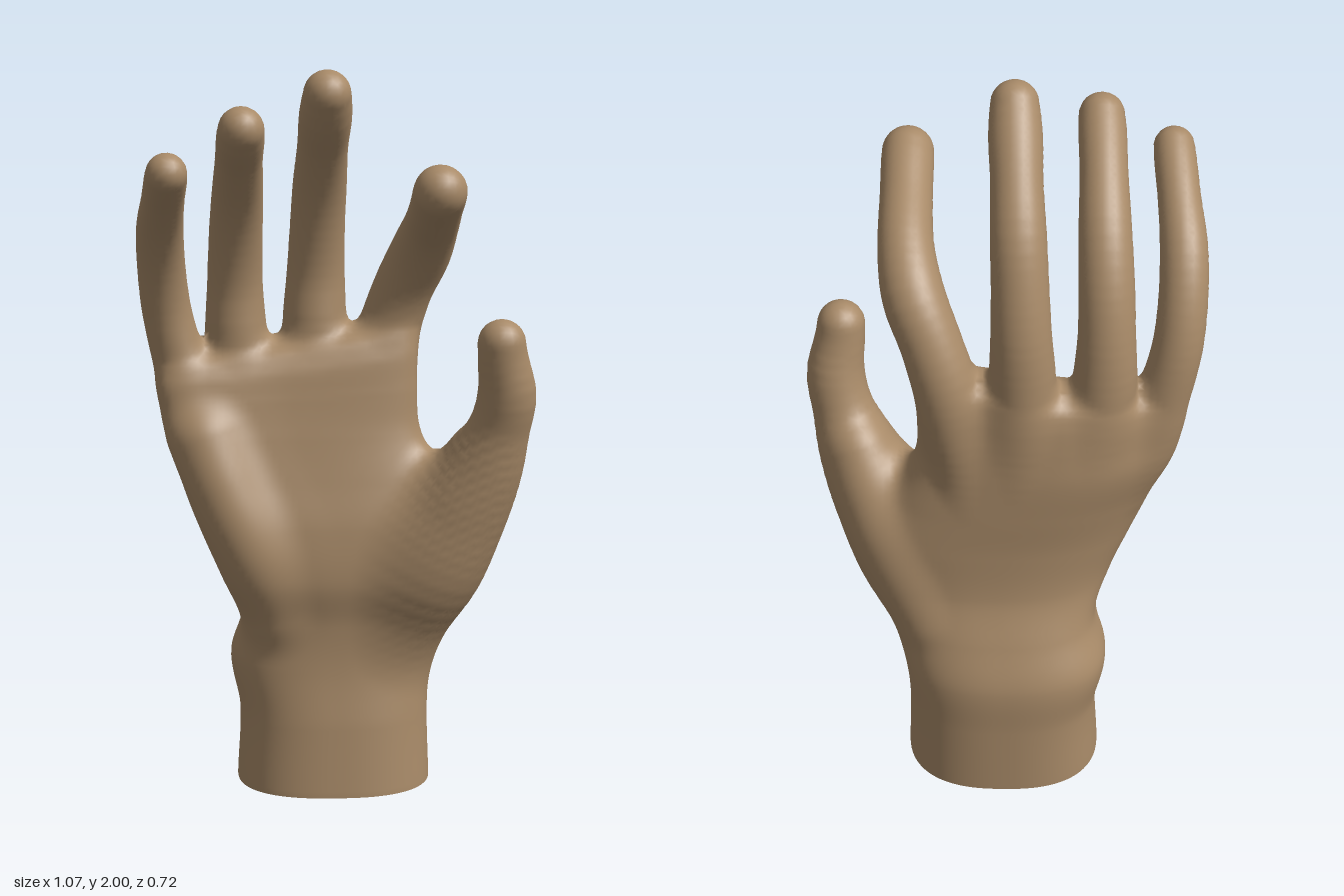
import * as THREE from 'three';

// Palm and wrist sections: [y, right x, left x, back z, front z, arch, sideways lift]
const PALM = [
  [0, -0.28, 0.26, -0.355, 0.12, 0, 0],
  [0.2, -0.272, 0.255, -0.35, 0.095, 0, 0],
  [0.35, -0.297, 0.265, -0.345, 0.072, 0, 0],
  [0.48, -0.265, 0.285, -0.3, 0.07, 0, 0],
  [0.6, -0.3, 0.34, -0.258, 0.085, 0.02, 0],
  [0.75, -0.36, 0.36, -0.248, 0.07, 0.04, 0],
  [0.88, -0.412, 0.29, -0.25, 0.04, 0.06, 0],
  [1.0, -0.465, 0.23, -0.25, 0.015, 0.07, 0],
  [1.1, -0.48, 0.22, -0.24, -0.005, 0.075, 0.02],
  [1.17, -0.485, 0.217, -0.23, -0.02, 0.075, 0.035],
  [1.22, -0.47, 0.205, -0.215, -0.045, 0.07, 0.045],
  [1.255, -0.43, 0.17, -0.185, -0.08, 0.06, 0.045],
];
const POWER = 2.5; // squareness of the sections

// Rounded limbs as [x, y, z, radius] from root to tip, with how softly they join
const LIMBS = {
  palmHeel: { blend: 0.09, points: [
    [-0.18, 0.5, -0.015, 0.065], [-0.245, 0.68, 0.025, 0.083], [-0.32, 0.86, 0.02, 0.078], [-0.38, 1.04, -0.02, 0.062],
  ] },
  thumb: { blend: 0.09, points: [
    [0.13, 0.38, -0.1, 0.1], [0.19, 0.5, -0.065, 0.125], [0.25, 0.63, -0.03, 0.153],
    [0.325, 0.78, 0.0, 0.138], [0.39, 0.91, 0.035, 0.11], [0.432, 1.03, 0.068, 0.084],
    [0.45, 1.13, 0.092, 0.079], [0.435, 1.24, 0.112, 0.067], [0.427, 1.335, 0.125, 0.062],
  ] },
  thumbWeb: { blend: 0.05, points: [
    [0.19, 0.5, -0.17, 0.08], [0.27, 0.67, -0.125, 0.095], [0.345, 0.83, -0.065, 0.085], [0.4, 1.0, 0.01, 0.062],
  ] },
  indexFinger: { blend: 0.04, points: [
    [0.08, 0.9, -0.16, 0.05], [0.12, 1.1, -0.155, 0.077], [0.142, 1.25, -0.15, 0.085],
    [0.18, 1.38, -0.125, 0.082], [0.225, 1.49, -0.07, 0.083], [0.247, 1.58, 0.03, 0.074],
    [0.25, 1.648, 0.17, 0.07], [0.25, 1.7, 0.29, 0.07], [0.25, 1.722, 0.355, 0.06],
  ] },
  middleFinger: { blend: 0.04, points: [
    [-0.045, 0.9, -0.16, 0.05], [-0.06, 1.1, -0.158, 0.08], [-0.06, 1.27, -0.153, 0.088],
    [-0.056, 1.42, -0.153, 0.08], [-0.052, 1.56, -0.125, 0.075], [-0.047, 1.68, -0.078, 0.073],
    [-0.042, 1.79, 0.0, 0.068], [-0.037, 1.885, 0.09, 0.07], [-0.033, 1.982, 0.178, 0.057],
  ] },
  ringFinger: { blend: 0.04, points: [
    [-0.19, 0.9, -0.14, 0.05], [-0.25, 1.1, -0.135, 0.078], [-0.274, 1.25, -0.13, 0.085],
    [-0.278, 1.4, -0.12, 0.076], [-0.275, 1.54, -0.08, 0.073], [-0.27, 1.66, -0.01, 0.069],
    [-0.266, 1.765, 0.1, 0.063], [-0.262, 1.835, 0.2, 0.063], [-0.258, 1.89, 0.275, 0.055],
  ] },
  littleFinger: { blend: 0.04, points: [
    [-0.33, 0.88, -0.09, 0.045], [-0.4, 1.05, -0.09, 0.07], [-0.435, 1.2, -0.09, 0.07],
    [-0.465, 1.34, -0.08, 0.067], [-0.477, 1.47, -0.04, 0.065], [-0.477, 1.58, 0.03, 0.063],
    [-0.466, 1.665, 0.13, 0.057], [-0.456, 1.73, 0.23, 0.056], [-0.45, 1.772, 0.305, 0.051],
  ] },
};

const spline = values => new THREE.CatmullRomCurve3(
  values.map(v => new THREE.Vector3(...v)), false, 'catmullrom');

// Smooth table of palm sections at even heights
const TOP = PALM[PALM.length - 1][0], ROWS = 4000;
const columns = PALM[0].map((_, k) => spline(PALM.map(s => [s[k], 0, 0])));
const sections = Array.from({ length: ROWS + 1 }, (_, r) => {
  const y = r / ROWS * TOP;
  const i = Math.min(PALM.findLastIndex(s => s[0] <= y), PALM.length - 2);
  const t = (i + (y - PALM[i][0]) / (PALM[i + 1][0] - PALM[i][0])) / (PALM.length - 1);
  return columns.map(c => c.getPoint(Math.min(t, 1)).x);
});
const sectionAt = y => sections[Math.round(Math.min(Math.max(y / TOP, 0), 1) * ROWS)];

// Smooth minimum joins two shapes with a fillet
function blend(a, b, k) {
  const h = Math.max(k - Math.abs(a - b), 0) / k;
  return Math.min(a, b) - h * h * k / 4;
}

function palmDistance(x, y, z) {
  const s = sectionAt(y);
  const across = (x - (s[1] + s[2]) / 2) / ((s[2] - s[1]) / 2);
  const height = y - s[6] * Math.min(Math.max(across, -1), 1);
  const [, x0, x1, back, front, arch] = sectionAt(height);
  const w = (x1 - x0) / 2, d = (front - back) / 2;
  const u = (x - (x0 + x1) / 2) / w, c = Math.min(Math.abs(u), 1.2);
  const v = (z - (back + front) / 2 - arch * c * c * (u < 0 ? 1 : 0.35)) / d;
  const k = Math.max((Math.abs(u) ** POWER + Math.abs(v) ** POWER) ** (1 / POWER), 0.05);
  const slope = Math.hypot((Math.abs(u) / k) ** (POWER - 1) / w, (Math.abs(v) / k) ** (POWER - 1) / d);
  return -blend(-(k - 1) / Math.max(slope, 1), TOP - height, 0.05);
}

// A limb is a chain of tapering segments with a round tip
function makeLimb(points, count = 30) {
  const path = spline(points.map(p => p.slice(0, 3)));
  const radii = spline(points.map(p => [p[3], 0, 0]));
  const end = 1 - points[points.length - 1][3] / path.getLength();
  const nodes = Array.from({ length: count + 1 }, (_, i) => {
    const u = i / count * end;
    return [...path.getPointAt(u).toArray(), radii.getPoint(path.getUtoTmapping(u)).x];
  });
  return (x, y, z) => {
    let best = Infinity;
    for (let i = 0; i < count; i++) {
      const a = nodes[i], b = nodes[i + 1];
      const dx = b[0] - a[0], dy = b[1] - a[1], dz = b[2] - a[2];
      const px = x - a[0], py = y - a[1], pz = z - a[2];
      const t = Math.min(Math.max((px * dx + py * dy + pz * dz) / (dx * dx + dy * dy + dz * dz), 0), 1);
      const gap = Math.sqrt((px - t * dx) ** 2 + (py - t * dy) ** 2 + (pz - t * dz) ** 2);
      best = Math.min(best, gap - a[3] - t * (b[3] - a[3]));
    }
    return best;
  };
}

const parts = [{ name: 'palmAndWrist', distance: palmDistance }];
for (const [name, l] of Object.entries(LIMBS)) parts.push({ name, blend: l.blend, distance: makeLimb(l.points) });

const field = (x, y, z) => parts.reduce(
  (sum, p) => (p.blend ? blend(sum, p.distance(x, y, z), p.blend) : p.distance(x, y, z)), Infinity);

function gradient(p, e = 0.01) {
  return new THREE.Vector3(
    field(p.x + e, p.y, p.z) - field(p.x - e, p.y, p.z),
    field(p.x, p.y + e, p.z) - field(p.x, p.y - e, p.z),
    field(p.x, p.y, p.z + e) - field(p.x, p.y, p.z - e)).divideScalar(2 * e);
}

// Skins the blended shape with quads, sorted by the part they lie on
function skinParts() {
  const h = 0.017, size = [72, 122, 50], origin = [-0.61, -h / 2, -0.42];
  const stride = [1, size[0], size[0] * size[1]];
  const at = (i, axis) => origin[axis] + i * h;
  const values = new Float32Array(size[0] * size[1] * size[2]).fill(1);
  const each = (start, visit) => {
    for (let k = start; k < size[2] - 1; k++)
      for (let j = start; j < size[1] - 1; j++)
        for (let i = start; i < size[0] - 1; i++) visit(i, j, k, i + j * stride[1] + k * stride[2]);
  };
  each(0, (i, j, k, id) => { values[id] = field(at(i, 0), at(j, 1), at(k, 2)); });

  // One vertex per cell, pulled onto the surface
  const cells = new Map();
  const vertex = id => {
    if (!cells.has(id)) {
      const i = id % size[0], j = Math.floor(id / stride[1]) % size[1], k = Math.floor(id / stride[2]);
      const p = new THREE.Vector3(at(i + 0.5, 0), at(j + 0.5, 1), at(k + 0.5, 2));
      for (let n = 0; n < 3; n++) {
        const g = gradient(p);
        p.addScaledVector(g, -field(p.x, p.y, p.z) / Math.max(g.lengthSq(), 0.3));
      }
      if (j === 0) p.y = 0;
      cells.set(id, { p, n: gradient(p).normalize() });
    }
    return cells.get(id);
  };

  const out = parts.map(() => ({ pos: [], nrm: [] }));
  each(1, (i, j, k, id) => {
    for (let axis = 0; axis < 3; axis++) {
      const inside = values[id] < 0;
      if (inside === values[id + stride[axis]] < 0) continue;
      const b = stride[(axis + 1) % 3], c = stride[(axis + 2) % 3];
      const quad = [id - b - c, id - c, id, id - b].map(vertex);
      if (!inside) quad.reverse();
      const near = parts.map(p => p.distance(at(i, 0), at(j, 1), at(k, 2)));
      const { pos, nrm } = out[near.indexOf(Math.min(...near))];
      for (const q of [0, 1, 2, 0, 2, 3]) {
        pos.push(...quad[q].p.toArray());
        nrm.push(...quad[q].n.toArray());
      }
    }
  });
  return out.map(({ pos, nrm }) => new THREE.BufferGeometry()
    .setAttribute('position', new THREE.Float32BufferAttribute(pos, 3))
    .setAttribute('normal', new THREE.Float32BufferAttribute(nrm, 3)));
}

export function createModel() {
  const skin = new THREE.MeshStandardMaterial({ color: 0xa88a68 });
  skin.name = 'skin';
  const hand = new THREE.Group();
  hand.name = 'hand';
  const add = (name, geometry) => {
    const mesh = new THREE.Mesh(geometry, skin);
    mesh.name = name;
    hand.add(mesh);
  };

  // Palm, thumb and fingers
  skinParts().forEach((geometry, i) => add(parts[i].name, geometry));

  // Flat cut under the wrist
  const [, x0, x1, back, front] = PALM[0];
  const round = v => Math.sign(v) * Math.abs(v) ** (2 / POWER);
  const outline = Array.from({ length: 64 }, (_, i) => {
    const a = i / 32 * Math.PI;
    return new THREE.Vector2((x0 + x1 + round(Math.cos(a)) * (x1 - x0)) / 2,
      (back + front + round(Math.sin(a)) * (front - back)) / 2);
  });
  add('wristBase', new THREE.ShapeGeometry(new THREE.Shape(outline)).rotateX(Math.PI / 2));
  return hand;
}
